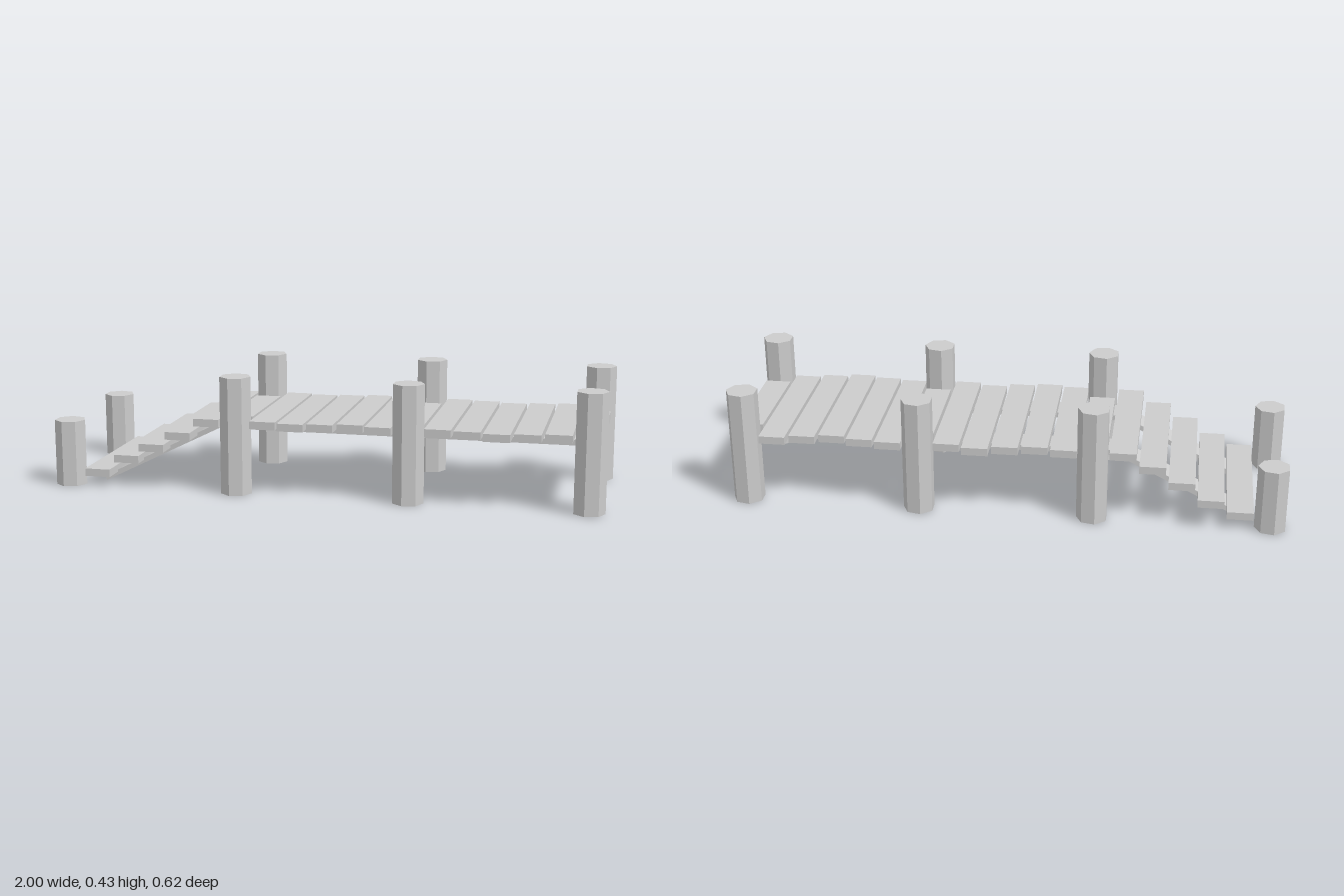
import * as THREE from 'three';

export function createModel() {
  const group = new THREE.Group();
  group.name = 'dock';
  const material = new THREE.MeshStandardMaterial({ color: 0xcccccc, flatShading: true });

  const add = (name, geometry, x, y, z) => {
    const mesh = new THREE.Mesh(geometry, material);
    mesh.name = name;
    mesh.position.set(x, y, z);
    group.add(mesh);
    return mesh;
  };

  // Seven-sided posts in pairs; the pair at the foot of the steps is shorter
  const posts = [[-0.948, 0.241], [-0.316, 0.427], [0.311, 0.427], [0.943, 0.427]];
  for (const [x, height] of posts) {
    for (const side of [1, -1]) {
      const geometry = new THREE.CylinderGeometry(0.057, 0.057, height, 7, 1, false, Math.PI / 2);
      add('post', geometry, x, height / 2, side * 0.253);
    }
  }

  // Deck beams and sloping stair stringers
  for (const side of [1, -1]) {
    const z = side * 0.147;
    add('deckBeam', new THREE.BoxGeometry(1.35, 0.02, 0.094), 0.295, 0.232, z);
    const stringer = add('stairStringer', new THREE.BoxGeometry(0.492, 0.018, 0.094), -0.619, 0.121, z);
    stringer.rotation.z = Math.atan2(0.219, 0.44);
  }

  // Planks with slightly uneven ends; every sixth fits between a pair of posts
  const shifts = [0, -0.022, 0, 0.011, 0, 0, 0, 0.014, 0, -0.021, 0, 0, -0.012, 0, 0.018, 0, -0.019, 0];
  shifts.forEach((shift, i) => {
    const isStep = i < 4;
    const length = i % 6 === 5 ? 0.392 : 0.555;
    const y = isStep ? 0.05 + i * 0.0515 : 0.256;
    add(isStep ? 'stairStep' : 'deckPlank', new THREE.BoxGeometry(0.094, 0.028, length),
      -0.84 + i * 0.1046, y, shift);
  });

  return group;
}
